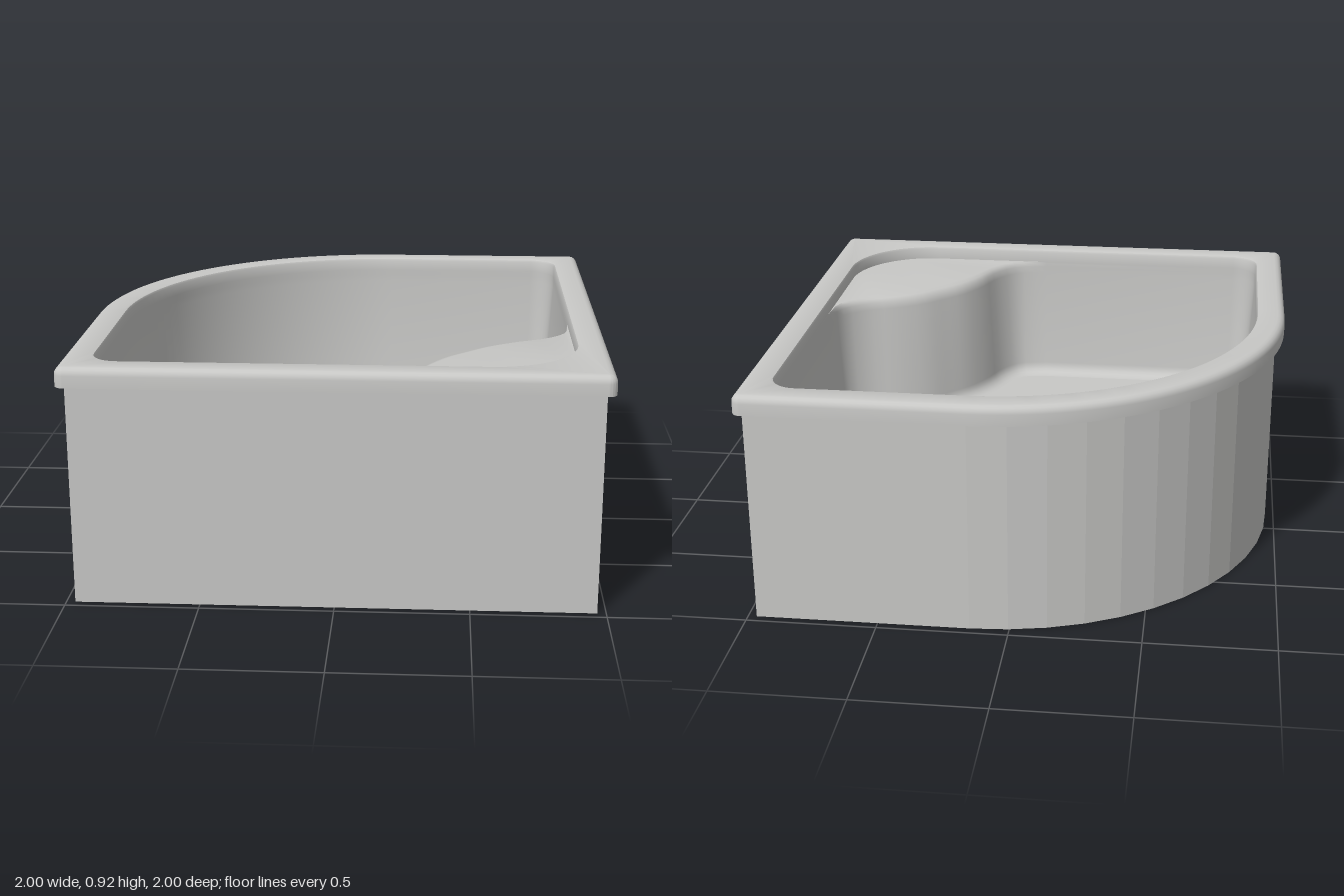
import * as THREE from 'three';
import { toCreasedNormals } from 'three/addons/utils/BufferGeometryUtils.js';

const acrylic = new THREE.MeshStandardMaterial({ color: 0xc8c8c6 });
acrylic.name = 'light grey acrylic';

const SEAT_N = 28;      // points along the seat corner of each outline
const SEAT_END = 0.06;  // where the seat meets the straight walls
const CURVE = 0.15;     // centre of the big rounded corner
const FLOOR = 0.33, UNDER = 0.31, SEAT_Y = 0.86;
const DRAIN = { x: 0.64, z: -0.64, r: 0.062 };

// Points of an arc seen from above; angles in quarter turns, n = 0 gives a single point
function arc(cx, cz, r, quarter, n) {
  const pts = [];
  for (let i = 0; i <= n; i++) {
    const a = (quarter + (n ? i / n : 0)) * Math.PI / 2;
    pts.push([cx + r * Math.cos(a), cz - r * Math.sin(a)]);
  }
  return pts;
}

// Closed outline: square of half width e, one big round corner, one seat corner
function outline(e, r, seatR, cornerN, curveN, seatN, seatPath) {
  const c = e - r, s = e - seatR;
  return [
    ...arc(c, -c, r, 0, cornerN),
    ...arc(CURVE, CURVE, e + CURVE, 1, curveN),
    ...arc(-c, c, r, 2, cornerN),
    ...(seatPath || [[SEAT_END, e], ...arc(s, s, seatR, 3, seatN - 3), [e, SEAT_END]]),
  ];
}

// Move an outline inwards by d with mitred corners
function inset(loop, d) {
  const n = loop.length;
  const unit = (p, q) => {
    const l = Math.hypot(q[0] - p[0], q[1] - p[1]) || 1;
    return [(q[1] - p[1]) / l, -(q[0] - p[0]) / l];
  };
  return loop.map((p, i) => {
    const a = unit(loop[(i + n - 1) % n], p), b = unit(p, loop[(i + 1) % n]);
    const k = d / Math.max(0.4, 1 + a[0] * b[0] + a[1] * b[1]);
    return [p[0] + (a[0] + b[0]) * k, p[1] + (a[1] + b[1]) * k];
  });
}

// Skin a list of [outline, height] rows
function loft(name, rows, crease) {
  const pos = [], idx = [], n = rows[0][0].length;
  rows.forEach(([loop, y]) => loop.forEach(([x, z]) => pos.push(x, y, z)));
  for (let j = 0; j < rows.length - 1; j++) {
    for (let k = 0; k < n; k++) {
      const a = j * n + k, b = j * n + (k + 1) % n;
      idx.push(a, b, a + n, b, b + n, a + n);
    }
  }
  const g = new THREE.BufferGeometry();
  g.setAttribute('position', new THREE.Float32BufferAttribute(pos, 3));
  g.setIndex(idx);
  return mesh(name, toCreasedNormals(g, crease));
}

function mesh(name, geometry) {
  const m = new THREE.Mesh(geometry, acrylic);
  m.name = name;
  return m;
}

// Flat panel with the drain hole, facing up (dir 1) or down (dir -1)
function panel(name, loop, y, holeR, dir) {
  const shape = new THREE.Shape(loop.map(([x, z]) => new THREE.Vector2(x, -dir * z)));
  const hole = new THREE.Path();
  hole.absarc(DRAIN.x, -dir * DRAIN.z, holeR, 0, Math.PI * 2, true);
  shape.holes.push(hole);
  const g = new THREE.ShapeGeometry(shape, 16);
  g.rotateX(-dir * Math.PI / 2).translate(0, y, 0);
  return mesh(name, g);
}

export function createModel() {
  const group = new THREE.Group();
  group.name = 'cornerShowerTray';

  // S-shaped front of the seat, mirrored about the diagonal
  const E = 0.887;
  const half = [[SEAT_END, E], [0.19, 0.86], [0.27, 0.77], [0.32, 0.65], [0.385, 0.54]];
  const ctrl = [...half, [0.46, 0.46], ...half.map(([a, b]) => [b, a]).reverse()];
  const seatCurve = new THREE.CatmullRomCurve3(ctrl.map(([x, z]) => new THREE.Vector3(x, 0, z)));
  const seatPts = seatCurve.getPoints(SEAT_N - 1);
  const seatPath = (shift) => seatPts.map((p, i) => {
    const s = shift * Math.sin(Math.PI * i / (SEAT_N - 1)) * 0.707;
    return [p.x + s, p.z + s];
  });

  const rim = outline(1, 0.035, 0.035, 8, 32, SEAT_N);
  const mouth = outline(E, 0.1, 0.33, 8, 32, SEAT_N);
  const well = (shift) => outline(E, 0.1, 0, 8, 32, SEAT_N, seatPath(shift));
  const basin = well(0);

  // Rim with a rounded outer edge, ending at the lip round the seat
  const rimRows = [[inset(rim, 0.06), 0.84], [rim, 0.84]];
  for (let i = 0; i <= 4; i++) {
    const a = i / 4 * Math.PI / 2;
    rimRows.push([inset(rim, 0.03 * (1 - Math.cos(a))), 0.885 + 0.03 * Math.sin(a)]);
  }
  rimRows.push([inset(mouth, -0.012), 0.915], [inset(mouth, -0.004), 0.912],
    [mouth, 0.904], [mouth, SEAT_Y]);
  group.add(loft('rim', rimRows, 0.7));

  // Seat top, rounded seat edge, walls and floor fillet
  const bowl = [[mouth, SEAT_Y], [well(0.05), SEAT_Y], [well(0.025), SEAT_Y - 0.007],
    [well(0.008), SEAT_Y - 0.022], [basin, SEAT_Y - 0.05]];
  const F = 0.05;
  for (let i = 0; i <= 5; i++) {
    const a = i / 5 * Math.PI / 2;
    bowl.push([inset(basin, 0.025 + F * (1 - Math.cos(a))), FLOOR + F * (1 - Math.sin(a))]);
  }
  group.add(loft('seatAndBasinWalls', bowl, 0.7));
  group.add(panel('basinFloor', inset(basin, 0.025 + F), FLOOR, 0.08, 1));

  // Underside shell of the basin
  const shell = [];
  for (let i = 0; i <= 5; i++) {
    const a = i / 5 * Math.PI / 2;
    shell.push([inset(basin, 0.005 + 0.06 * (1 - Math.sin(a))), UNDER + 0.06 * (1 - Math.cos(a))]);
  }
  shell.push([inset(basin, -0.018), 0.835], [inset(mouth, -0.05), 0.84]);
  group.add(loft('basinUnderside', shell, 0.7));
  group.add(panel('basinFloorUnderside', inset(basin, 0.065), UNDER, DRAIN.r, -1));

  // Drain hole edge
  const drainProfile = [[DRAIN.r, UNDER], [DRAIN.r, FLOOR - 0.012], [0.066, FLOOR - 0.005],
    [0.072, FLOOR - 0.001], [0.08, FLOOR]].map(([r, y]) => new THREE.Vector2(r, y));
  const drain = mesh('drainEdge', new THREE.LatheGeometry(drainProfile.reverse(), 40));
  drain.position.set(DRAIN.x, 0, DRAIN.z);
  group.add(drain);

  // Skirt: faceted apron, open underneath
  const skirt = outline(0.967, 0, 0, 0, 12, 3);
  const inner = inset(skirt, 0.05);
  group.add(loft('skirt', [[inner, 0.845], [inner, 0], [skirt, 0], [skirt, 0.845]], 0.05));

  return group;
}
